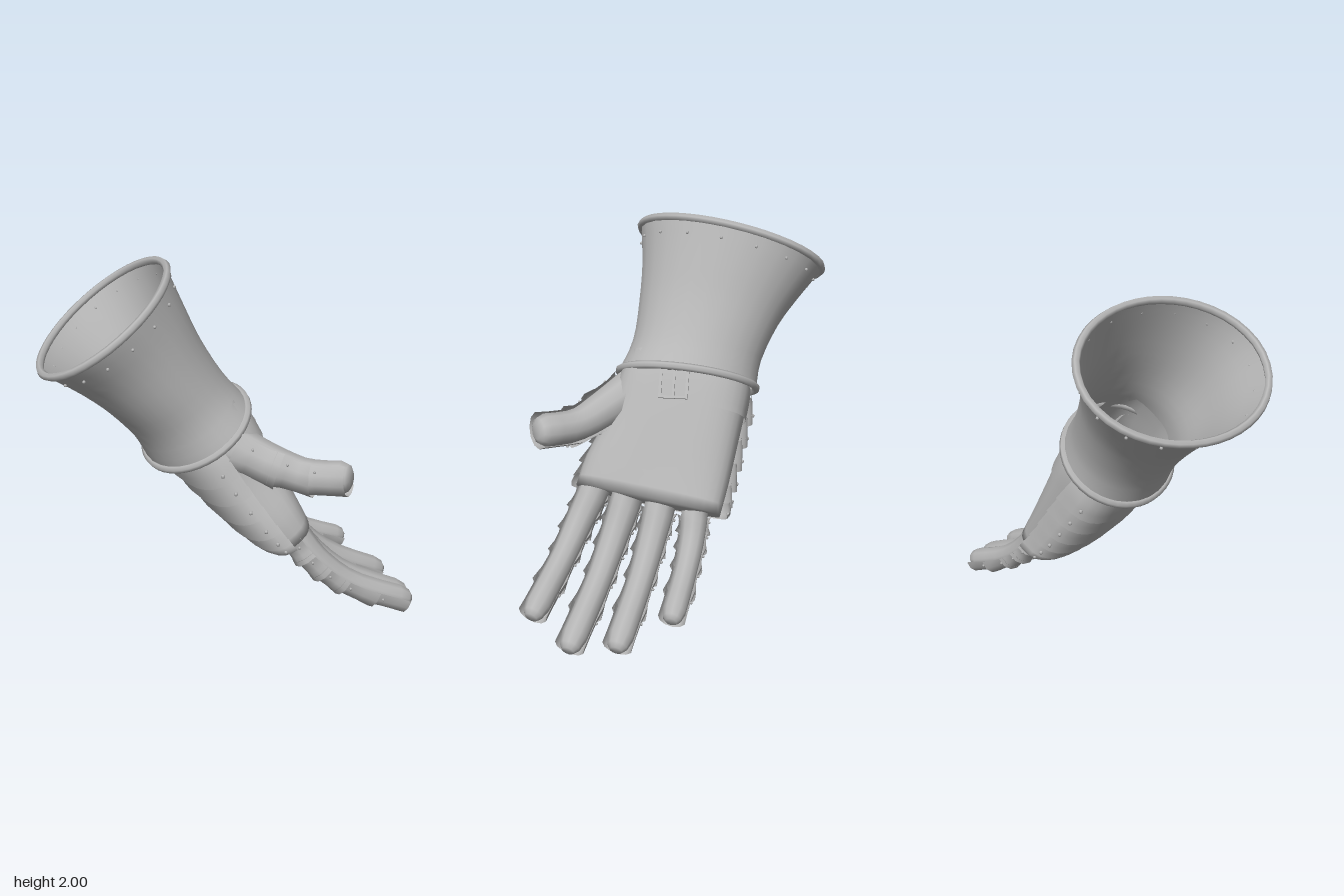
import * as THREE from 'three';

const V = (x, y, z) => new THREE.Vector3(x, y, z);
const steel = new THREE.MeshStandardMaterial({ color: 0xb6b6b6, side: THREE.DoubleSide });
steel.name = 'steel';

const add = (parent, geometry, name) => {
  const mesh = new THREE.Mesh(geometry, steel);
  mesh.name = name;
  parent.add(mesh);
  return mesh;
};
const spow = (v, p) => Math.sign(v) * Math.pow(Math.abs(v), p);

// Point on a rounded cross-section: centre c, half axes a and b, grown by off
function ringPoint(s, angle, off = 0) {
  const p = s.p ?? 1;
  return s.c.clone()
    .addScaledVector(s.a, spow(Math.cos(angle), p) * (1 + off / s.a.length()))
    .addScaledVector(s.b, spow(Math.sin(angle), p) * (1 + off / s.b.length()));
}

// Surface through cross-sections, either a closed tube or an open shell
function loft(sections, { segs = 16, from = 0, to = Math.PI * 2, offs = [], cap = false } = {}) {
  const closed = to - from > 6.28;
  const cols = closed ? segs : segs + 1;
  const pos = [], idx = [];
  sections.forEach((s, i) => {
    for (let j = 0; j < cols; j++) {
      pos.push(...ringPoint(s, from + (to - from) * j / segs, offs[i] ?? 0).toArray());
    }
  });
  for (let i = 0; i < sections.length - 1; i++) {
    for (let j = 0; j < segs; j++) {
      const k = (j + 1) % cols, p = i * cols, q = p + cols;
      idx.push(p + j, p + k, q + j, p + k, q + k, q + j);
    }
  }
  if (cap) {
    const last = (sections.length - 1) * cols, centre = pos.length / 3;
    pos.push(...sections.at(-1).c.toArray());
    for (let j = 0; j < segs; j++) idx.push(last + j, last + (j + 1) % cols, centre);
  }
  const g = new THREE.BufferGeometry();
  g.setAttribute('position', new THREE.Float32BufferAttribute(pos, 3));
  g.setIndex(idx);
  g.computeVertexNormals();
  return g;
}

// Smooth interpolation between key cross-sections [c, a, b]
function sampler(keys, p = 1) {
  const curves = [0, 1, 2].map(k => new THREE.CatmullRomCurve3(keys.map(s => s[k]), false, 'catmullrom', 0.5));
  return t => {
    const [c, a, b] = curves.map(q => q.getPoint(Math.min(t, 1)));
    return { c, a, b, p };
  };
}
const steps = (n, a = 0, b = 1) => Array.from({ length: n + 1 }, (_, i) => a + (b - a) * i / n);

function rivet(parent, at, r = 0.011) {
  add(parent, new THREE.SphereGeometry(r, 6, 4), 'rivet').position.copy(at);
}

// Rolled edge following a cross-section
function rolledEdge(parent, s, r, name) {
  const pts = steps(13, 0, Math.PI * 2 * 13 / 14).map(a => ringPoint(s, a));
  add(parent, new THREE.TubeGeometry(new THREE.CatmullRomCurve3(pts, true), 42, r, 6, true), name);
}

// Finger: tapered core with overlapping plates on the side facing back
function finger(parent, points, [r0, r1], back, plates, name) {
  const group = new THREE.Group();
  group.name = name;
  parent.add(group);
  const path = new THREE.CatmullRomCurve3(points);
  const at = (t, k = 1) => {
    const tan = path.getTangent(t);
    const d = back.clone().addScaledVector(tan, -back.dot(tan)).normalize();
    const rad = (r0 + (r1 - r0) * Math.min(1, t * 1.6)) * k;
    return { c: path.getPoint(t), a: d.clone().multiplyScalar(rad), b: tan.cross(d).multiplyScalar(rad) };
  };
  const core = steps(9, 0, 0.93).map(t => at(t));
  core.push(at(0.98, 0.8), at(1, 0.5));
  add(group, loft(core, { segs: 10, cap: true }), name + 'Core');
  for (let i = 0; i < plates; i++) {
    const t0 = 0.04 + 0.92 * i / plates;
    const s = steps(3, t0, Math.min(0.98, t0 + 1.12 / plates)).map(t => at(t));
    const offs = i === plates - 1 ? [0.018, 0.01, 0.01, 0.012] : [0.02, 0.008, 0.012, 0.027];
    add(group, loft(s, { segs: 6, from: -1.7, to: 1.7, offs }), name + 'Plate');
    for (const side of [-1, 1]) rivet(group, ringPoint(s[1], side * 1.3, 0.011), 0.008);
  }
}

export function createModel() {
  const model = new THREE.Group();
  model.name = 'gauntlet';

  // Flared cuff, open at both ends
  const cuff = sampler([
    [V(-0.565, 1.735, -0.22), V(0.345, 0.235, 0), V(-0.12, 0.06, 0.505)],
    [V(-0.45, 1.585, -0.175), V(0.29, 0.205, 0), V(-0.075, 0.045, 0.435)],
    [V(-0.34, 1.425, -0.125), V(0.25, 0.175, 0), V(-0.04, 0.02, 0.385)],
    [V(-0.225, 1.255, -0.075), V(0.235, 0.155, 0), V(-0.02, 0.03, 0.35)],
    [V(-0.14, 1.12, -0.035), V(0.24, 0.17, 0), V(0, 0.03, 0.37)],
  ]);
  add(model, loft(steps(12).map(cuff), { segs: 28 }), 'cuff');
  rolledEdge(model, cuff(0), 0.021, 'cuffRim');
  rolledEdge(model, cuff(1), 0.021, 'wristRim');
  for (let i = 0; i < 16; i++) rivet(model, ringPoint(cuff(0.1), i * Math.PI / 8, 0.004), 0.009);

  // Palm and back of the hand, starting inside the cuff
  const n = len => V(0.8 * len, 0.6 * len, 0);
  const hand = sampler([
    [V(-0.175, 1.2, -0.045), n(0.215), V(0, 0.04, 0.31)],
    [V(-0.1, 1.1, -0.03), n(0.215), V(0, 0.04, 0.335)],
    [V(0.02, 0.91, 0.02), n(0.195), V(-0.02, 0.04, 0.35)],
    [V(0.145, 0.71, 0.095), n(0.165), V(-0.04, 0.04, 0.385)],
    [V(0.245, 0.575, 0.135), n(0.13), V(-0.055, 0.04, 0.39)],
  ], 0.7);
  add(model, loft(steps(12).map(hand), { segs: 32, cap: true }), 'hand');

  // Wrist strap and buckle
  const strap = steps(6, 0.2, 0.4).map(hand);
  add(model, loft(strap, { segs: 32, offs: strap.map(() => 0.012) }), 'wristStrap');
  const buckle = new THREE.Group();
  buckle.name = 'buckle';
  for (const [w, h, x, y] of [[0.15, 0.014, 0, 0.075], [0.15, 0.014, 0, -0.075],
    [0.014, 0.16, 0.07, 0], [0.014, 0.16, -0.07, 0], [0.012, 0.15, 0, 0]]) {
    add(buckle, new THREE.BoxGeometry(w, h, 0.014), 'buckleBar').position.set(x, y, 0);
  }
  buckle.applyMatrix4(new THREE.Matrix4().makeBasis(V(0, 0, -1), V(-0.56, 0.83, 0), V(0.83, 0.56, 0)));
  buckle.position.set(0.108, 1.2, 0.01);
  model.add(buckle);

  // Overlapping plates across the back of the hand
  const lames = 6, start = 0.24, pitch = (1 - start) / lames;
  for (let i = 0; i < lames; i++) {
    const t0 = start + i * pitch;
    const s = steps(3, t0, Math.min(1, t0 + 1.25 * pitch)).map(hand);
    const offs = i === lames - 1 ? [0.03, 0.045, 0.05, 0.04] : [0.015, 0.03, 0.04, 0.052];
    add(model, loft(s, { segs: 14, from: 1.72, to: 4.78, offs }), 'backPlate');
    for (const a of [2, 4.43]) rivet(model, ringPoint(s[2], a, 0.046), 0.011);
  }

  // Four fingers, from the front one to the rear one
  const back = V(-0.55, -0.83, 0);
  [
    ['indexFinger', [0.082, 0.066], V(0.2, 0.62, 0.42), V(0.3, 0.47, 0.49), V(0.47, 0.32, 0.56), V(0.805, 0.165, 0.66)],
    ['middleFinger', [0.084, 0.067], V(0.26, 0.6, 0.24), V(0.36, 0.44, 0.29), V(0.56, 0.25, 0.355), V(0.925, 0.06, 0.45)],
    ['ringFinger', [0.082, 0.066], V(0.3, 0.58, 0.06), V(0.4, 0.44, 0.09), V(0.59, 0.265, 0.135), V(0.93, 0.085, 0.205)],
    ['littleFinger', [0.072, 0.06], V(0.32, 0.56, -0.125), V(0.4, 0.45, -0.12), V(0.55, 0.33, -0.1), V(0.825, 0.205, -0.06)],
  ].forEach(([name, radii, ...pts]) => finger(model, pts, radii, back, 5, name));

  // Thumb
  finger(model, [V(-0.06, 1.1, 0.24), V(0.09, 1.025, 0.39), V(0.225, 0.985, 0.515), V(0.375, 1.01, 0.69)],
    [0.115, 0.086], V(-0.45, -0.55, 0.55), 3, 'thumb');

  return model;
}
